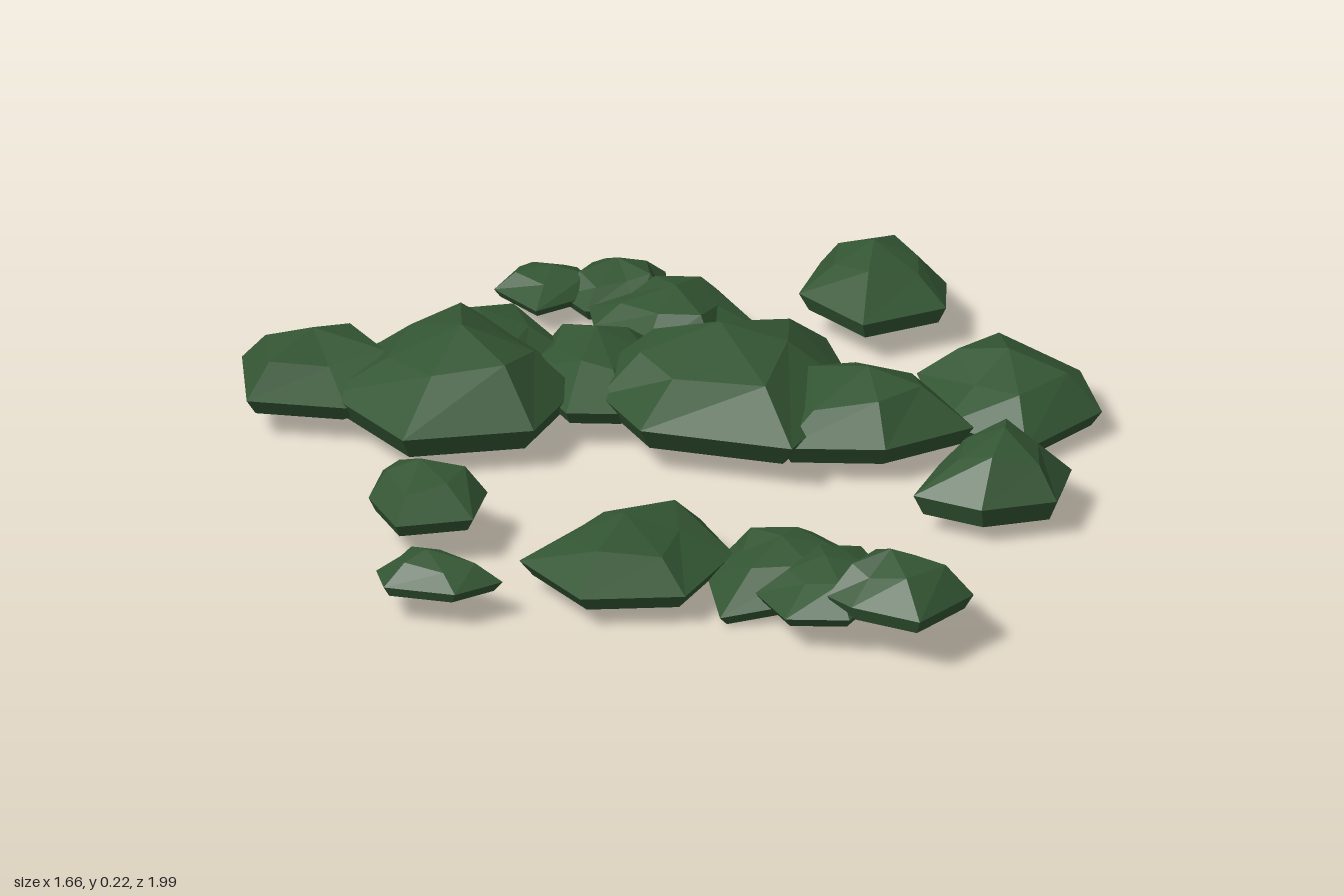
import * as THREE from 'three';

const leafGreen = new THREE.MeshStandardMaterial({ color: 0x335533, flatShading: true });
leafGreen.name = 'leaf green';

// Faceted cushion of leaves: inset flat base, wide rim, shoulder ring and crown.
// outline: rim corners as [x, z]; crown: [x, z] of the peak; slope: [rise per x, rise per z]
function clump(name, outline, crown, low, high, slope = [0, 0]) {
  const n = outline.length;
  const cx = outline.reduce((s, p) => s + p[0], 0) / n;
  const cz = outline.reduce((s, p) => s + p[1], 0) / n;
  const angle = p => Math.atan2(p[1] - cz, p[0] - cx);
  const rim = [...outline].sort((a, b) => angle(a) - angle(b));
  const h = high - low;
  const lean = (x, z) => slope[0] * (x - cx) + slope[1] * (z - cz);
  const ring = (scale, level, wobble, ox, oz) => rim.map(([x, z], i) => {
    const s = scale + wobble * Math.sin(i * 2.4 + cx * 9);
    const px = ox + (x - ox) * s, pz = oz + (z - oz) * s;
    return [px, low + h * (level + wobble * Math.cos(i * 1.9 + cz * 7)) + lean(px, pz), pz];
  });
  const rings = [
    ring(0.88, 0, 0, cx, cz),
    ring(1, 0.27, 0, cx, cz),
    ring(0.58, 0.74, 0.09, crown[0], crown[1]),
  ];
  const apex = [crown[0], high, crown[1]];
  const base = [cx, low, cz];
  const pos = [];
  const tri = (...corners) => corners.forEach(c => pos.push(...c));
  for (let i = 0; i < n; i++) {
    const j = (i + 1) % n;
    for (let r = 0; r < 2; r++) {
      const a = rings[r], b = rings[r + 1];
      tri(a[i], b[i], a[j]);
      tri(b[i], b[j], a[j]);
    }
    tri(rings[2][i], apex, rings[2][j]);
    tri(rings[0][i], rings[0][j], base);
  }
  const geo = new THREE.BufferGeometry();
  geo.setAttribute('position', new THREE.Float32BufferAttribute(pos, 3));
  geo.computeVertexNormals();
  const mesh = new THREE.Mesh(geo, leafGreen);
  mesh.name = name;
  return mesh;
}

export function createModel() {
  const group = new THREE.Group();
  group.name = 'foliageClumps';
  const add = (...args) => group.add(clump(...args));

  // Back left cluster
  add('backLeftClump', [[-0.71, -0.57], [-0.63, -0.77], [-0.5, -0.81], [-0.37, -0.72], [-0.36, -0.5], [-0.55, -0.46]],
    [-0.53, -0.66], 0.06, 0.18);
  add('largeBackClump', [[-0.56, -0.53], [-0.4, -0.69], [-0.2, -0.7], [-0.09, -0.55], [-0.11, -0.35], [-0.27, -0.2], [-0.52, -0.26]],
    [-0.31, -0.45], 0.05, 0.23);
  add('upperBackClump', [[-0.37, -0.72], [-0.2, -0.76], [-0.05, -0.67], [-0.04, -0.5], [-0.2, -0.42], [-0.37, -0.52]],
    [-0.2, -0.62], 0.06, 0.18);
  add('bridgeClump', [[-0.17, -0.27], [-0.17, -0.5], [-0.07, -0.59], [0.13, -0.5], [0.1, -0.36], [-0.07, -0.22]],
    [-0.02, -0.46], 0.06, 0.17);

  // Central run toward the right side
  add('largeCentreClump', [[-0.09, -0.1], [-0.09, -0.29], [-0.04, -0.41], [0.2, -0.42], [0.42, -0.36], [0.37, -0.1], [0.14, 0.1]],
    [0.15, -0.26], 0.06, 0.23);
  add('innerClump', [[0.14, 0.05], [0.32, 0.14], [0.52, 0.11], [0.52, -0.08], [0.4, -0.23], [0.22, -0.2]],
    [0.36, -0.03], 0.05, 0.19);
  add('rightClump', [[0.49, 0.03], [0.53, -0.18], [0.72, -0.24], [0.83, -0.08], [0.8, 0.09], [0.6, 0.18]],
    [0.67, -0.06], 0.04, 0.16, [0, -0.08]);

  // Back and right outliers
  add('backMiddleClump', [[0.05, -0.63], [0.08, -0.72], [0.2, -0.74], [0.34, -0.7], [0.34, -0.49], [0.21, -0.42], [0.08, -0.46]],
    [0.2, -0.58], 0.06, 0.17);
  add('farBackClump', [[-0.03, -0.92], [0.06, -1.0], [0.16, -0.95], [0.16, -0.82], [0, -0.79]],
    [0.08, -0.89], 0.05, 0.11);
  add('farBackSideClump', [[0.08, -0.85], [0.2, -0.97], [0.31, -0.87], [0.26, -0.74], [0.18, -0.72], [0.09, -0.76]],
    [0.2, -0.85], 0.04, 0.12);
  add('backRightClump', [[0.47, -0.6], [0.57, -0.72], [0.75, -0.68], [0.75, -0.53], [0.7, -0.42], [0.52, -0.41]],
    [0.62, -0.58], 0.06, 0.19);
  add('frontRightClump', [[0.28, 0.36], [0.39, 0.24], [0.54, 0.22], [0.61, 0.37], [0.52, 0.5], [0.37, 0.48]],
    [0.47, 0.37], 0.045, 0.2);

  // Left outliers
  add('leftClump', [[-0.71, 0.13], [-0.7, -0.02], [-0.62, -0.13], [-0.51, -0.06], [-0.48, 0.05], [-0.56, 0.16]],
    [-0.6, 0], 0.08, 0.18);
  add('smallLeftClump', [[-0.83, 0.34], [-0.81, 0.26], [-0.73, 0.21], [-0.66, 0.29], [-0.61, 0.41], [-0.72, 0.43]],
    [-0.73, 0.32], 0.065, 0.14);

  // Front chain
  add('frontLeftClump', [[-0.53, 0.31], [-0.34, 0.2], [-0.13, 0.27], [-0.14, 0.45], [-0.31, 0.6], [-0.5, 0.53]],
    [-0.33, 0.36], 0.045, 0.16);
  add('lowFrontClump', [[-0.25, 0.63], [-0.2, 0.45], [-0.11, 0.39], [0.03, 0.44], [0.07, 0.59], [-0.05, 0.69]],
    [-0.07, 0.52], 0.04, 0.13, [0.16, -0.06]);
  add('frontClump', [[-0.18, 0.78], [-0.18, 0.64], [-0.02, 0.57], [0.07, 0.58], [0.06, 0.76], [-0.08, 0.86]],
    [-0.05, 0.68], 0.07, 0.15, [0.12, 0]);
  add('frontTipClump', [[-0.1, 0.8], [0.03, 0.7], [0.16, 0.74], [0.16, 0.91], [0.01, 0.99], [-0.08, 0.87]],
    [0.03, 0.81], 0.09, 0.2);

  return group;
}
